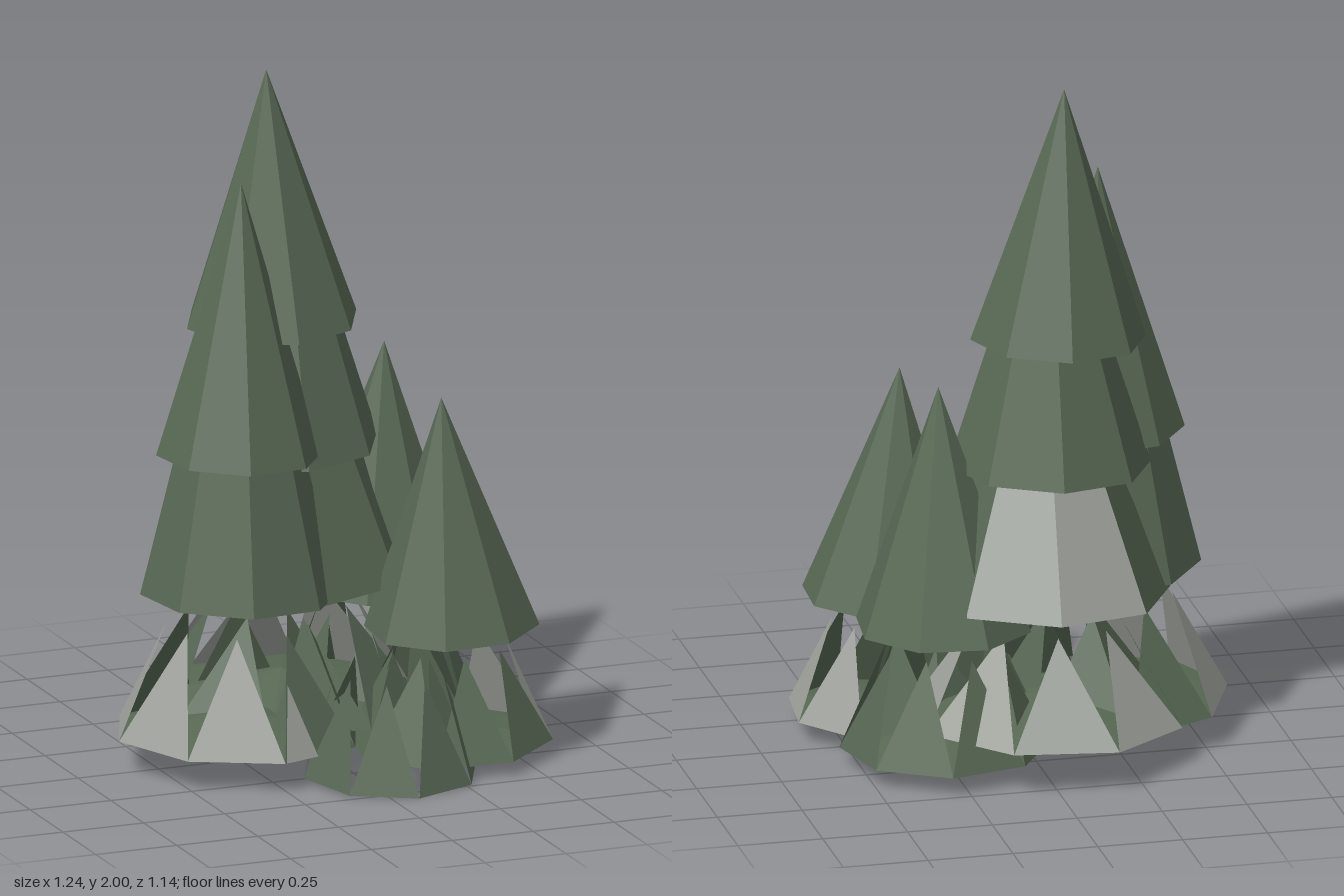
import * as THREE from 'three';

const SIDES = 8;

const needleGreen = new THREE.MeshStandardMaterial({ color: 0x586854, side: THREE.DoubleSide });
needleGreen.name = 'needleGreen';
const frostGrey = new THREE.MeshStandardMaterial({ color: 0xa0a49d, side: THREE.DoubleSide });
frostGrey.name = 'frostGrey';

// One faceted tier: the listed faces are grey, all others and the underside green.
// faceOf(i, corner) gives the triangles of side i; corner(i) is a point on the tilted base rim.
// The underside is a hollow whose centre is raised by lift times the radius.
function tierMesh(name, { x, z, y, r, phase, tilt, grey = [], cap = true }, lift, faceOf) {
  const green = [], frost = [];
  const corner = (i, radius = r, height = y) => {
    const a = THREE.MathUtils.degToRad(phase + (i * 360) / SIDES);
    const dx = radius * Math.cos(a), dz = radius * Math.sin(a);
    return [x + dx, height + tilt[0] * dx + tilt[1] * dz, z + dz];
  };
  for (let i = 0; i < SIDES; i++) {
    (grey.includes(i) ? frost : green).push(...faceOf(i, corner).flat());
    if (cap) green.push(...corner(i), ...corner(i + 1), x, y + lift * r, z);
  }
  const geometry = new THREE.BufferGeometry();
  geometry.setAttribute('position', new THREE.Float32BufferAttribute([...green, ...frost], 3));
  geometry.addGroup(0, green.length / 3, 0);
  geometry.addGroup(green.length / 3, frost.length / 3, 1);
  geometry.computeVertexNormals();
  const mesh = new THREE.Mesh(geometry, [needleGreen, frostGrey]);
  mesh.name = name;
  return mesh;
}

// Pointed top of a tree
const crown = (t) => tierMesh('crown', t, 0.42, (i, c) => [c(i + 1), c(i), t.apex]);

// Skirt whose narrow upper rim is tucked into the tier above
const skirt = (t) => tierMesh('skirt', t, 0.34, (i, c) => {
  const a = c(i), b = c(i + 1);
  const ta = c(i, t.topR, t.topY), tb = c(i + 1, t.topR, t.topY);
  return [b, a, ta, b, ta, tb];
});

// Lowest branches: one leaning triangle per side with open gaps between them
const spikes = (t) => tierMesh('lowerBranches', t, 0.22, (i, c) =>
  [c(i + 1), c(i), c(i + 0.5, t.tipR, t.tipY)]);

// Small grey triangle lying on a green branch
function frostPatch(points) {
  const geometry = new THREE.BufferGeometry();
  geometry.setAttribute('position', new THREE.Float32BufferAttribute(points, 3));
  geometry.computeVertexNormals();
  const mesh = new THREE.Mesh(geometry, frostGrey);
  mesh.name = 'frostPatch';
  return mesh;
}

const trees = [
  {
    name: 'tallTree',
    tilt: [0.03, -0.03],
    parts: [
      [crown, { x: -0.085, z: -0.163, y: 1.252, r: 0.255, phase: 4, apex: [-0.105, 2, -0.155] }],
      [skirt, { x: -0.055, z: -0.181, y: 0.878, r: 0.294, phase: 5, topR: 0.16, topY: 1.3 }],
      [skirt, { x: -0.035, z: -0.183, y: 0.498, r: 0.37, phase: 5, topR: 0.195, topY: 0.92, grey: [5, 6] }],
      [spikes, { x: -0.045, z: -0.19, y: 0.115, r: 0.4, phase: -18, tipR: 0.21, tipY: 0.415, grey: [5, 6, 7, 0] }],
    ],
  },
  {
    name: 'leftTree',
    tilt: [-0.025, 0],
    parts: [
      [crown, { x: -0.25, z: -0.005, y: 0.91, r: 0.24, phase: 14, apex: [-0.235, 1.71, -0.027] }],
      [skirt, { x: -0.25, z: 0, y: 0.498, r: 0.288, phase: 14, topR: 0.18, topY: 0.94 }],
      [spikes, { x: -0.257, z: 0, y: 0.086, r: 0.366, phase: 0, tipR: 0.2, tipY: 0.415, grey: [2, 3, 4] }],
    ],
  },
  {
    name: 'backSmallTree',
    tilt: [0, -0.01],
    parts: [
      [crown, { x: 0.263, z: -0.21, y: 0.423, r: 0.26, phase: 29, apex: [0.275, 1.14, -0.193] }],
      [spikes, { x: 0.255, z: -0.19, y: 0.052, r: 0.303, phase: 9, tipR: 0.17, tipY: 0.36 }],
    ],
  },
  {
    name: 'frontSmallTree',
    tilt: [0.04, -0.02],
    parts: [
      [crown, { x: 0.332, z: 0.18, y: 0.387, r: 0.252, phase: 26, apex: [0.297, 1.07, 0.187] }],
      [spikes, { x: 0.333, z: 0.157, y: 0.043, r: 0.3, phase: 29, tipR: 0.165, tipY: 0.33, grey: [6, 7] }],
    ],
  },
  {
    // Low sapling with no crown and an open base
    name: 'sapling',
    tilt: [0, -0.05],
    parts: [
      [spikes, { x: 0.09, z: 0.305, y: 0.013, r: 0.26, phase: 3, tipR: 0.15, tipY: 0.315, cap: false }],
    ],
  },
];

export function createModel() {
  const model = new THREE.Group();
  model.name = 'pineCluster';
  for (const { name, tilt, parts } of trees) {
    const tree = new THREE.Group();
    tree.name = name;
    for (const [build, options] of parts) tree.add(build({ ...options, tilt }));
    model.add(tree);
  }
  model.add(frostPatch([-0.255, 0.088, 0.37, -0.138, 0.084, 0.323, -0.209, 0.288, 0.263]));
  return model;
}
